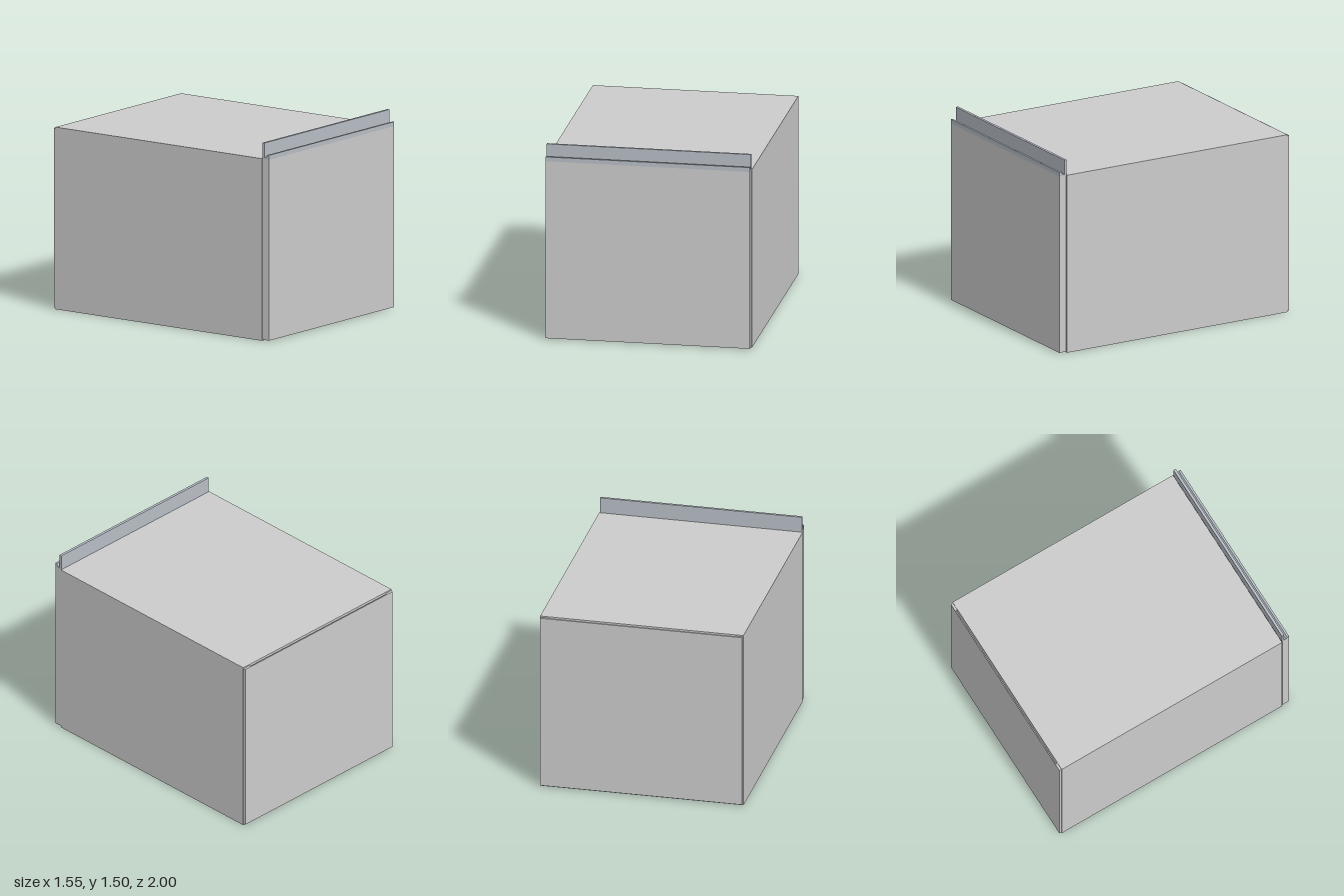
import * as THREE from 'three';

const grey = new THREE.MeshStandardMaterial({ color: 0xcccccc });
const metal = new THREE.MeshStandardMaterial({ color: 0xb8bec6 });

// Box given by its lower and upper corners
function block(name, [x0, y0, z0], [x1, y1, z1]) {
  const mesh = new THREE.Mesh(new THREE.BoxGeometry(x1 - x0, y1 - y0, z1 - z0), grey);
  mesh.position.set((x0 + x1) / 2, (y0 + y1) / 2, (z0 + z1) / 2);
  mesh.name = name;
  return mesh;
}

export function createModel() {
  const model = new THREE.Group();
  model.name = 'cabinet';

  // Carcass and the door in front of it
  model.add(block('carcass', [-0.775, 0, -0.982], [0.775, 1.38, 0.936]));
  model.add(block('door', [-0.77, 0.008, 0.94], [0.77, 1.378, 1]));

  // Back sheet held off the carcass by a spacer at each side
  model.add(block('backPanel', [-0.77, 0.01, -1], [0.77, 1.37, -0.992]));
  for (const s of [-1, 1]) {
    const spacer = block('backSpacer', [-0.03, 0.01, -0.992], [0.03, 1.37, -0.982]);
    spacer.position.x = s * 0.742;
    model.add(spacer);
  }

  // Handle rail along the door's top edge: front lip, sloped channel, tall rear fin
  const profile = new THREE.Shape([
    [1, 1.378], [1, 1.412], [0.984, 1.412], [0.97, 1.39], [0.957, 1.39],
    [0.957, 1.5], [0.937, 1.5], [0.937, 1.378],
  ].map(([z, y]) => new THREE.Vector2(-z, y)));
  const rail = new THREE.Mesh(
    new THREE.ExtrudeGeometry(profile, { depth: 1.54, bevelEnabled: false }), metal);
  rail.geometry.translate(0, 0, -0.77).rotateY(Math.PI / 2);
  rail.name = 'handleRail';
  model.add(rail);

  return model;
}
